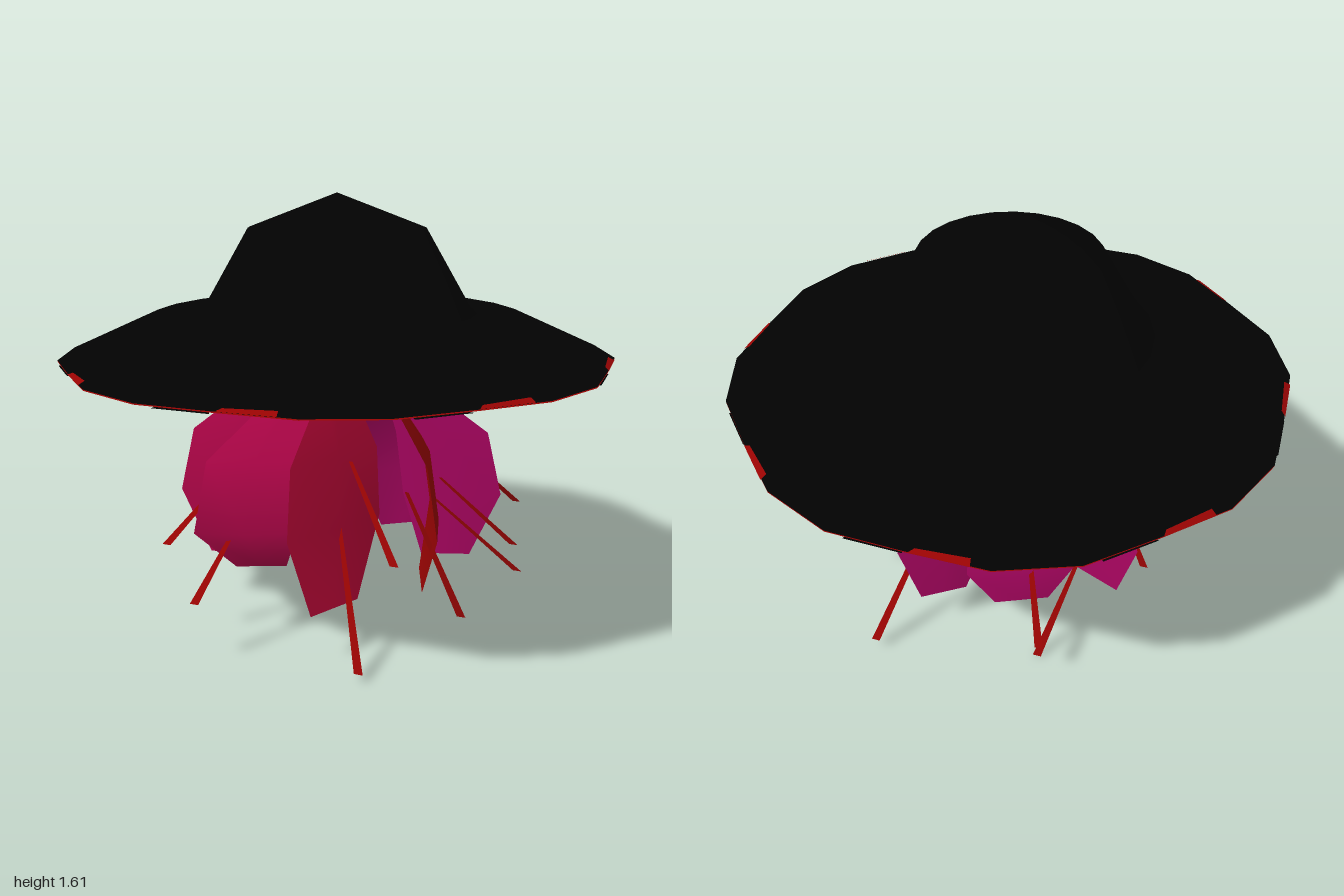
import * as THREE from 'three';

const material = (name, color) => {
  const m = new THREE.MeshStandardMaterial({ color, side: THREE.DoubleSide });
  m.name = name;
  return m;
};
const rad = THREE.MathUtils.degToRad;

// Sheet through rows of points (every row has the same count)
function sheet(rows) {
  const n = rows[0].length, index = [];
  for (let i = 0; i < rows.length - 1; i++)
    for (let j = 0; j < n - 1; j++) {
      const a = i * n + j, b = a + n;
      index.push(a, b, a + 1, a + 1, b, b + 1);
    }
  const g = new THREE.BufferGeometry();
  g.setAttribute('position', new THREE.Float32BufferAttribute(rows.flat(2), 3));
  g.setIndex(index);
  g.computeVertexNormals();
  return g;
}

// Pull the rim in at every third corner, giving an eight-lobed outline
function shapeRim(g) {
  const p = g.attributes.position;
  for (let i = 0; i < p.count; i++) {
    const x = p.getX(i), z = p.getZ(i);
    if (Math.hypot(x, z) < 0.9) continue;
    const k = Math.round(Math.atan2(z, x) / rad(15));
    const f = k % 3 === 0 ? 0.995 : 1.025;
    p.setX(i, x * f);
    p.setZ(i, z * f);
  }
  g.computeVertexNormals();
  return g;
}

export function createModel() {
  const model = new THREE.Group();
  const black = material('black', 0x020202);
  const red = material('red', 0x980403);
  const crimson = material('crimson', 0xb00533);
  const rose = material('rose', 0xae0547);
  const magenta = material('magenta', 0xac0562);
  const add = (name, geometry, mat) => {
    const m = new THREE.Mesh(geometry, mat);
    m.name = name;
    model.add(m);
    return m;
  };

  // Domed cap with a wide brim
  const profile = [[1, 1.014], [0.69, 1.165], [0.55, 1.175], [0.508, 1.17], [0.328, 1.48], [0, 1.605]];
  add('cap', shapeRim(new THREE.LatheGeometry(profile.map(p => new THREE.Vector2(...p)), 24)), black);

  // Flat underside
  const under = new THREE.CircleGeometry(1, 24);
  under.rotateX(Math.PI / 2);
  add('underside', shapeRim(under), red).position.y = 1.01;

  // Red slivers on top of the rim, black ones beneath it
  for (let k = 0; k < 8; k++) {
    const at = (deg, r, y) => {
      const a = rad(k * 45 + deg);
      return [r * Math.cos(a), y, -r * Math.sin(a)];
    };
    add('rimSliver', sheet([
      [at(0.5, 0.997, 1.015), at(11.5, 1.016, 1.016)],
      [at(1.5, 0.982, 1.023), at(11.5, 0.993, 1.028)],
    ]), red);
    add('rimSliverBelow', sheet([
      [at(-0.5, 0.997, 1.006), at(-11.5, 1.016, 1.006)],
      [at(-1.5, 0.965, 1.006), at(-11.5, 0.985, 1.006)],
    ]), black);
  }

  // Short collar below the cap
  add('collar', new THREE.CylinderGeometry(0.315, 0.28, 0.1, 12), red).position.y = 0.97;

  // Eight hanging blades:
  // [position angle, facing angle, radius, tip radius, tip height, half width, colour]
  const blades = [
    [18, 341, 0.45, 0.4, 0.2, 0.23, red],
    [70, 27, 0.37, 0.47, 0.19, 0.22, crimson],
    [106, 68, 0.53, 0.45, 0.3, 0.18, rose],
    [160, 90, 0.45, 0.42, 0.2, 0.18, rose],
    [202, 292, 0.43, 0.45, 0.19, 0.19, magenta],
    [247, 245, 0.49, 0.5, 0.3, 0.2, magenta],
    [287, 235, 0.43, 0.45, 0.2, 0.18, magenta],
    [338, 72, 0.45, 0.43, 0.2, 0.19, magenta],
  ];
  for (const [pos, face, radius, tipRadius, tip, half, mat] of blades) {
    const p = rad(pos), f = rad(face);
    // radius, height, width factor, bulge of the centre line
    const rows = [[0.21, 0.94, 0.28, 0], [radius * 0.9, 0.7, 0.93, 0.02], [radius, 0.45, 1, 0.02], [tipRadius, tip, 0.5, 0]];
    add('blade', sheet(rows.map(([r, y, w, bulge]) => [-1, 0, 1].map(s => [
      r * Math.cos(p) - s * w * half * Math.sin(f) + (s ? 0 : bulge * Math.cos(f)),
      y,
      r * Math.sin(p) + s * w * half * Math.cos(f) + (s ? 0 : bulge * Math.sin(f)),
    ]))), mat);
  }

  // Thin flat filaments, slightly wider at the tip: tip, then root
  const filaments = [
    [[-0.43, 0.39, 0.57], [-0.27, 0.62, 0.38]],
    [[-0.27, 0.23, 0.67], [-0.19, 0.46, 0.5]],
    [[0.3, 0.03, 0.58], [0.14, 0.46, 0.34]],
    [[0.38, 0.38, 0.45], [0.16, 0.68, 0.28]],
    [[0.55, 0.1, 0.17], [0.35, 0.57, 0.22]],
    [[0.68, 0.3, -0.1], [0.4, 0.55, -0.05]],
    [[0.7, 0.2, -0.09], [0.38, 0.47, -0.04]],
    [[0.63, 0.37, -0.4], [0.33, 0.68, -0.25]],
    [[0.35, 0.05, -0.62], [0.17, 0.58, -0.32]],
    [[-0.3, 0.2, -0.58], [-0.2, 0.55, -0.4]],
    [[-0.26, 0, -0.46], [-0.37, 0.42, -0.3]],
    [[-0.58, 0.17, -0.03], [-0.43, 0.48, 0.02]],
  ];
  for (const [[x, y, z], [rx, ry, rz]] of filaments)
    add('filament', sheet([
      [[rx - 0.007, ry, rz], [rx + 0.007, ry, rz]],
      [[x - 0.016, y, z], [x + 0.016, y, z]],
    ]), red);
  return model;
}
